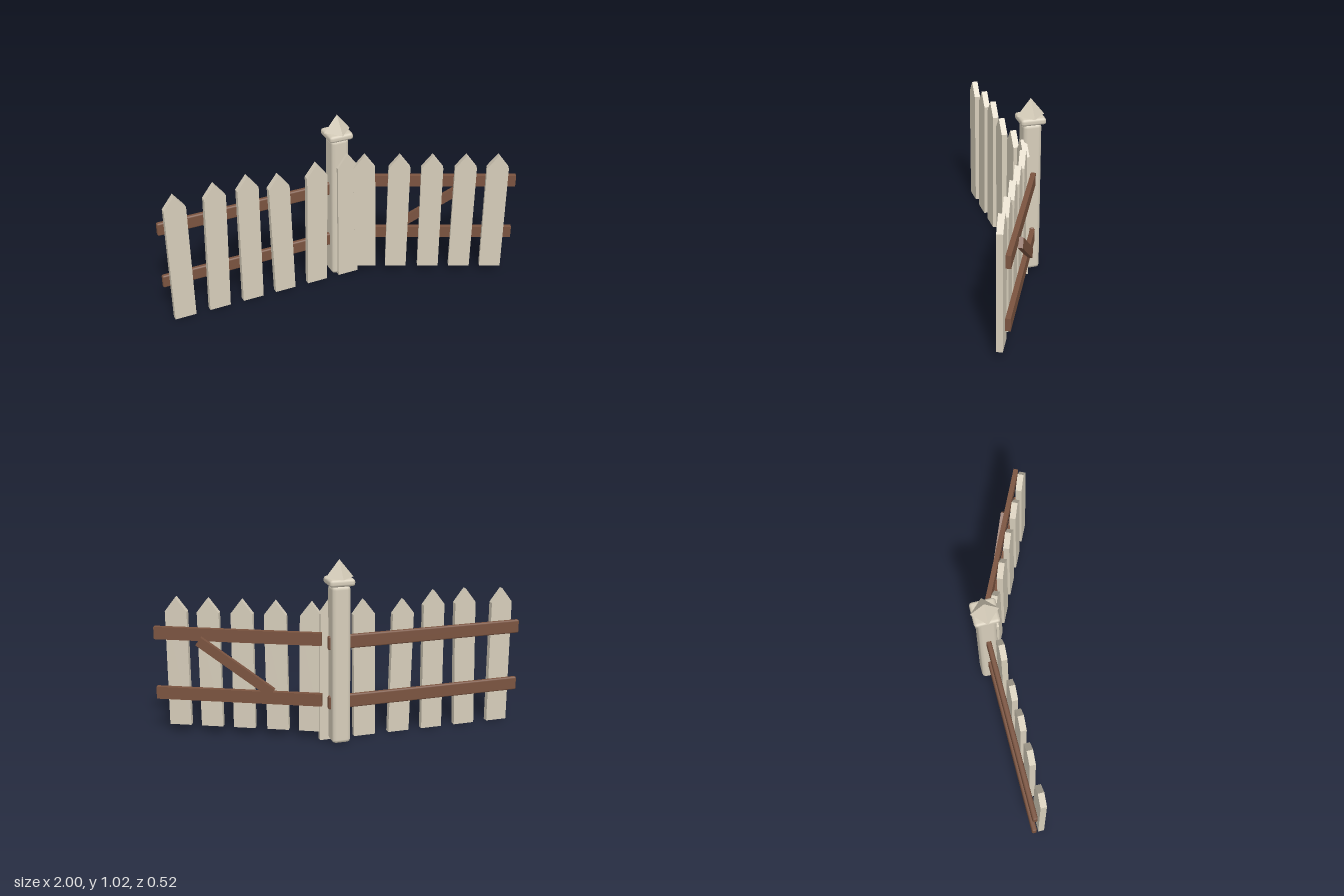
import * as THREE from 'three';
import { RoundedBoxGeometry } from 'three/addons/geometries/RoundedBoxGeometry.js';

const paint = new THREE.MeshStandardMaterial({ color: 0xd6cdba });
paint.name = 'cream paint';
const wood = new THREE.MeshStandardMaterial({ color: 0x7b5440 });
wood.name = 'brown wood';

function add(parent, name, geometry, material, x, y, z) {
  const mesh = new THREE.Mesh(geometry, material);
  mesh.name = name;
  mesh.position.set(x, y, z);
  parent.add(mesh);
  return mesh;
}

// Pointed board standing on y = 0; lean shifts its top sideways
function picketGeometry(width, height, lean) {
  const h = width / 2, shoulder = height - 0.08, depth = 0.034;
  const shape = new THREE.Shape([
    new THREE.Vector2(-h, 0),
    new THREE.Vector2(h, 0),
    new THREE.Vector2(h + lean, shoulder),
    new THREE.Vector2(lean, height),
    new THREE.Vector2(-h + lean, shoulder),
  ]);
  return new THREE.ExtrudeGeometry(shape, { depth, bevelEnabled: false }).translate(0, 0, -depth / 2);
}

export function createModel() {
  const model = new THREE.Group();
  model.name = 'fenceWithGate';

  // Post with collar and pyramid cap
  const post = new THREE.Group();
  post.name = 'post';
  post.position.set(0.06, 0, -0.182);
  model.add(post);
  add(post, 'postShaft', new RoundedBoxGeometry(0.105, 0.888, 0.105, 1, 0.022), paint, 0, 0.444, 0);
  add(post, 'postCollar', new RoundedBoxGeometry(0.142, 0.04, 0.142, 1, 0.016), paint, 0, 0.906, 0);
  const cone = new THREE.ConeGeometry(0.078, 0.098, 4, 1).toNonIndexed();
  cone.computeVertexNormals();
  add(post, 'postCap', cone, paint, 0, 0.974, 0);

  // Fixed fence: two rails running through the post
  const fence = new THREE.Group();
  fence.name = 'fixedFence';
  model.add(fence);
  for (const y of [0.229, 0.568]) {
    add(fence, 'fenceRail', new RoundedBoxGeometry(1.125, 0.077, 0.028, 1, 0.009), wood, -0.4375, y, -0.182);
  }

  // Fixed pickets: centre x, height, lean
  const pickets = [
    [-0.904, 0.785, -0.004], [-0.70, 0.8, 0.015], [-0.499, 0.803, 0.001],
    [-0.3, 0.767, -0.018], [-0.098, 0.782, 0.007], [0.1, 0.802, -0.005],
  ];
  for (const [x, height, lean] of pickets) {
    add(fence, 'fencePicket', picketGeometry(0.122, height, lean), paint, x, 0, -0.132);
  }

  // Gate swung forward; its local x runs along the rails
  const gate = new THREE.Group();
  gate.name = 'gate';
  gate.position.set(0.155, 0, -0.172);
  gate.rotation.y = -Math.atan2(0.395, 0.839);
  model.add(gate);
  for (const y of [0.245, 0.59]) {
    add(gate, 'gateRail', new THREE.BoxGeometry(0.927, 0.07, 0.027), wood, 0.4635, y, 0);
  }

  // Gate pickets: distance along the rail, lean
  for (const [x, lean] of [[0.075, -0.012], [0.254, 0.006], [0.444, 0], [0.628, 0.004], [0.811, 0]]) {
    add(gate, 'gatePicket', picketGeometry(0.122, 0.738, lean), paint, x, 0.045, 0.05);
  }

  // Diagonal brace on the back of the gate
  const brace = add(gate, 'gateBrace', new THREE.BoxGeometry(0.49, 0.054, 0.025), wood, 0.472, 0.42, -0.024);
  brace.rotation.z = Math.atan2(0.28, 0.404);

  return model;
}
